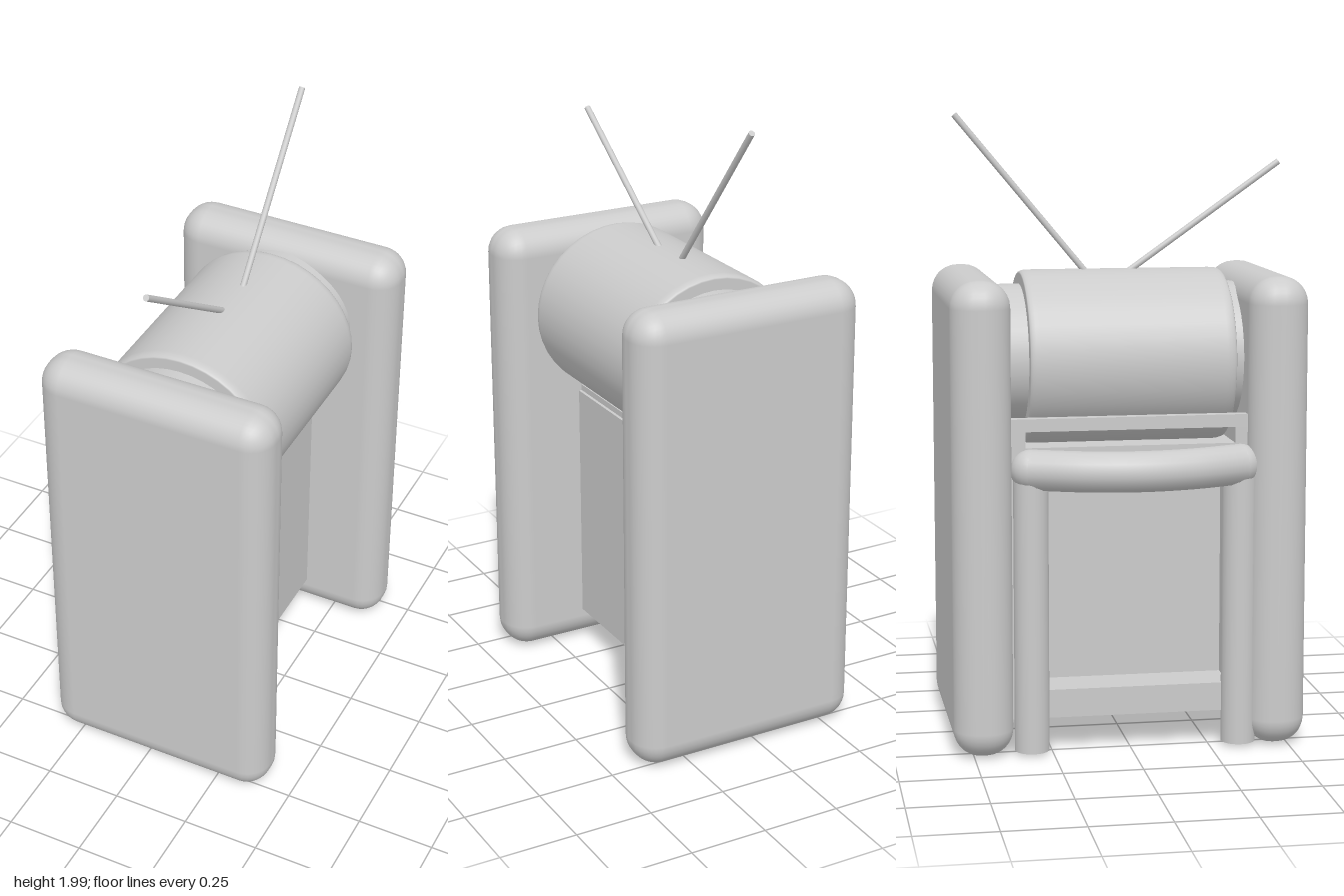
import * as THREE from 'three';
import { RoundedBoxGeometry } from 'three/addons/geometries/RoundedBoxGeometry.js';

const CX = 0.035; // centre line of the body

export function createModel() {
  const model = new THREE.Group();
  const mat = new THREE.MeshStandardMaterial({ color: 0xcccccc });

  const add = (name, geo, x = 0, y = 0, z = 0) => {
    const mesh = new THREE.Mesh(geo, mat);
    mesh.name = name;
    mesh.position.set(x, y, z);
    model.add(mesh);
    return mesh;
  };
  // Box given by its limits on each axis
  const slab = (name, [x0, x1], [y0, y1], [z0, z1]) =>
    add(name, new THREE.BoxGeometry(x1 - x0, y1 - y0, z1 - z0),
      (x0 + x1) / 2, (y0 + y1) / 2, (z0 + z1) / 2);
  // Round bar between two points
  const rod = (name, a, b, r) => {
    const path = new THREE.LineCurve3(a, b);
    const mesh = add(name, new THREE.CylinderGeometry(r, r, path.getLength(), 12));
    mesh.position.copy(a).lerp(b, 0.5);
    mesh.quaternion.setFromUnitVectors(new THREE.Vector3(0, 1, 0), b.clone().sub(a).normalize());
    return mesh;
  };
  const V = (x, y, z) => new THREE.Vector3(x, y, z);

  // Large cushioned end panels
  for (const [name, z] of [['frontPanel', 0.463], ['backPanel', -0.468]])
    add(name, new RoundedBoxGeometry(0.77, 1.49, 0.188, 4, 0.085), CX, 0.755, z);

  // Drum with softened rims, lying along z and slightly flattened
  const half = 0.325, bevel = 0.03, profile = [new THREE.Vector2(0, -half)];
  for (const side of [-1, 1])
    for (let i = 0; i <= 4; i++) {
      const t = (side < 0 ? i : 4 - i) / 4 * Math.PI / 2;
      profile.push(new THREE.Vector2(
        1 - bevel * 4 / 3 * (1 - Math.sin(t)),
        side * (half - bevel * (1 - Math.cos(t)))));
    }
  profile.push(new THREE.Vector2(0, half));
  const drum = add('drum', new THREE.LatheGeometry(profile, 40), CX, 1.228, 0.015);
  drum.rotation.x = Math.PI / 2;
  drum.scale.set(0.292, 1, 0.277);

  // Narrower axle joining the drum to the panels
  const axle = add('axle', new THREE.CylinderGeometry(1, 1, 0.8, 40), CX, 1.235, 0);
  axle.rotation.x = Math.PI / 2;
  axle.scale.set(0.25, 1, 0.225);

  // Cabinet, open on the handle side
  const depth = [-0.39, 0.39];
  slab('cabinetWall', [0.13, 0.16], [0.12, 0.93], depth);
  slab('cabinetFloor', [-0.25, 0.155], [0.12, 0.14], depth);
  slab('cabinetShelf', [-0.25, 0.15], [0.925, 0.95], depth);

  // Frame around the open side
  slab('lowerRail', [-0.27, -0.235], [0.12, 0.21], depth);
  slab('middleRail', [-0.27, -0.235], [0.92, 0.98], depth);
  slab('upperRail', [-0.27, -0.235], [1.03, 1.07], depth);
  for (const [z0, z1] of [[-0.39, -0.33], [0.33, 0.39]])
    slab('framePost', [-0.27, -0.235], [0.12, 1.07], [z0, z1]);

  // Round legs, capped where the handle meets them
  for (const z of [-0.315, 0.345]) {
    add('leg', new THREE.CylinderGeometry(0.055, 0.055, 0.89, 20), -0.27, 0.465, z);
    add('handleEnd', new THREE.SphereGeometry(0.064, 20, 14), -0.275, 0.913, z);
  }

  // Curved grab handle
  const grip = new THREE.CatmullRomCurve3([
    V(-0.275, 0.913, -0.315), V(-0.337, 0.913, -0.15), V(-0.36, 0.913, 0.015),
    V(-0.337, 0.913, 0.18), V(-0.275, 0.913, 0.345)]);
  add('handle', new THREE.TubeGeometry(grip, 28, 0.064, 18));

  // Pair of thin aerials
  rod('shortAerial', V(CX - 0.003, 1.47, 0.005), V(CX - 0.003, 1.842, 0.53), 0.01);
  rod('longAerial', V(CX - 0.003, 1.47, -0.075), V(CX - 0.003, 1.994, -0.512), 0.01);

  return model;
}
